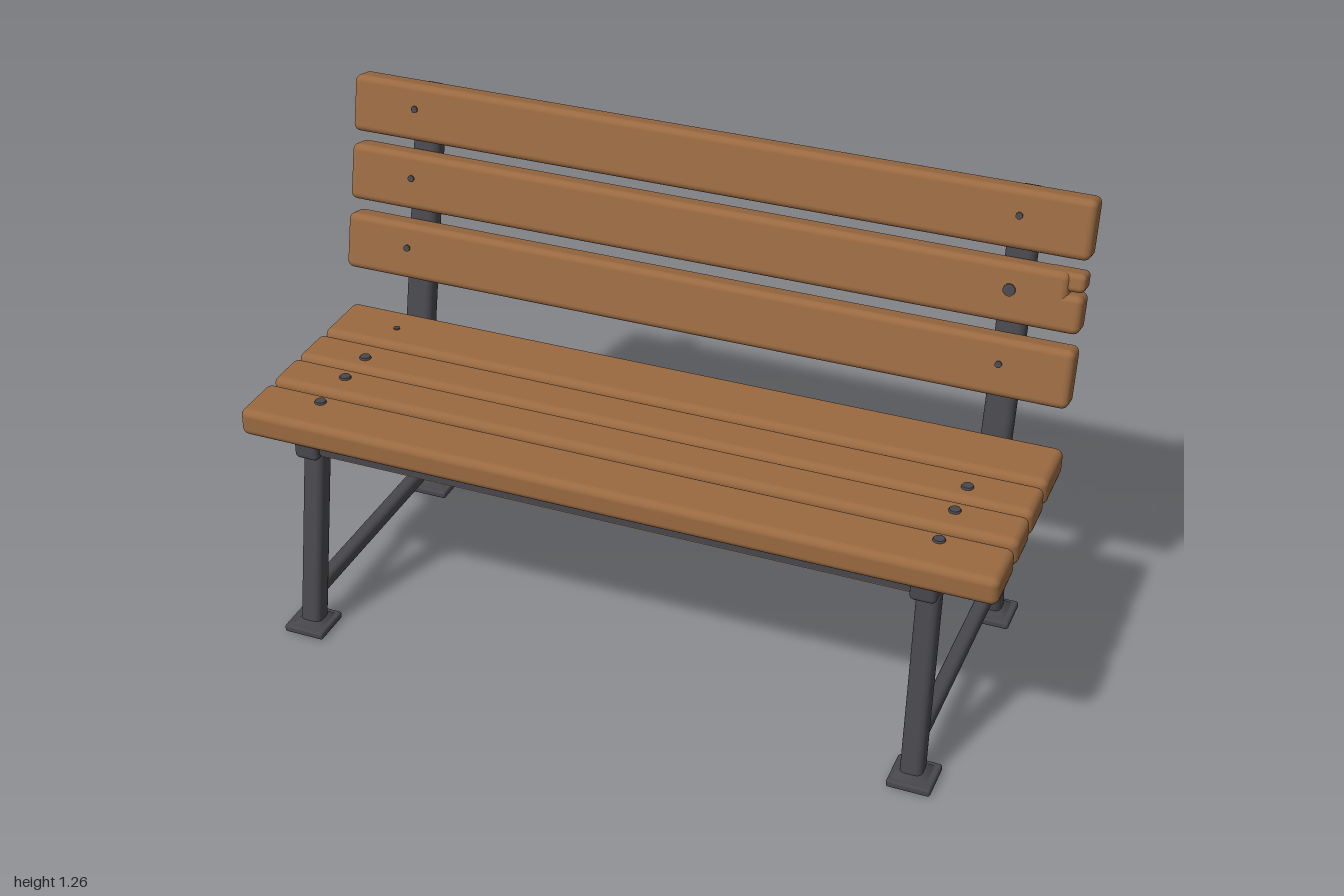
import * as THREE from 'three';
import { RoundedBoxGeometry } from 'three/addons/geometries/RoundedBoxGeometry.js';

const wood = new THREE.MeshStandardMaterial({ color: 0x9a6a41 });
wood.name = 'warm wood';
const metal = new THREE.MeshStandardMaterial({ color: 0x48474c });
metal.name = 'dark metal';

const UP = new THREE.Vector3(0, 1, 0);

export function createModel() {
  const bench = new THREE.Group();
  bench.name = 'bench';

  function add(name, geometry, material, x, y, z, parent = bench) {
    const mesh = new THREE.Mesh(geometry, material);
    mesh.name = name;
    mesh.position.set(x, y, z);
    parent.add(mesh);
    return mesh;
  }
  const rounded = (w, h, d, r) => new RoundedBoxGeometry(w, h, d, 3, r);

  // Rounded bar running between two points
  function bar(name, a, b, w, d, r) {
    const from = new THREE.Vector3(...a), to = new THREE.Vector3(...b);
    const dir = to.clone().sub(from);
    const mid = from.clone().add(to).multiplyScalar(0.5);
    const mesh = add(name, rounded(w, dir.length(), d, r), metal, mid.x, mid.y, mid.z);
    mesh.quaternion.setFromUnitVectors(UP, dir.normalize());
  }

  // Seat slats: [back z, front z]
  for (const [z0, z1] of [[0.232, 0.385], [0.092, 0.214], [-0.045, 0.081], [-0.234, -0.06]]) {
    add('seatSlat', rounded(1.99, 0.075, z1 - z0, 0.02), wood, 0, 0.593, (z0 + z1) / 2);
  }

  // Panel under the slats with a wooden underside
  add('seatPanel', new THREE.BoxGeometry(1.62, 0.023, 0.66), metal, 0, 0.543, 0.03);
  add('panelUnderside', new THREE.BoxGeometry(1.56, 0.004, 0.64), wood, 0, 0.53, 0.038);

  // Tilted backrest slats, each in its own leaning group
  const lean = -0.215;
  const backSlats = [[1.185, -0.343], [1.003, -0.302], [0.818, -0.256]];
  backSlats.forEach(([y, z], i) => {
    const slat = new THREE.Group();
    slat.name = 'backSlat';
    slat.position.set(0, y, z);
    slat.rotation.x = lean;
    bench.add(slat);
    if (i === 1) {
      // Middle slat has a split at its left end
      add('slatBody', rounded(1.95, 0.152, 0.075, 0.018), wood, -0.02, 0, 0, slat);
      add('splitUpper', rounded(0.1, 0.048, 0.066, 0.014), wood, 0.943, 0.052, -0.004, slat);
      add('splitLower', rounded(0.1, 0.098, 0.075, 0.018), wood, 0.945, -0.027, 0, slat);
    } else {
      add('slatBody', rounded(1.99, 0.152, 0.075, 0.018), wood, 0, 0, 0, slat);
    }
    // Screw heads on the front face
    for (const s of [-1, 1]) {
      const r = i === 1 && s === 1 ? 0.016 : 0.009;
      const head = add('backScrew', new THREE.CylinderGeometry(r, r, 0.006, 12), metal,
        s * 0.813, 0.01, 0.039, slat);
      head.rotation.x = Math.PI / 2;
      // Bolt ends behind the top and bottom slats
      if (i !== 1) {
        const end = add('boltEnd', new THREE.CylinderGeometry(0.014, 0.014, 0.06, 10), metal,
          s * 0.755, i === 0 ? 0.01 : -0.05, -0.062, slat);
        end.rotation.x = Math.PI / 2;
      }
    }
  });

  // Metal side frames, mirrored
  for (const s of [-1, 1]) {
    bar('backPost', [s * 0.812, 0.53, -0.263], [s * 0.812, 1.237, -0.412], 0.078, 0.056, 0.02);
    bar('seatRail', [s * 0.815, 0.541, -0.327], [s * 0.815, 0.541, 0.375], 0.066, 0.05, 0.012);
    add('postJoint', rounded(0.078, 0.055, 0.07, 0.02), metal, s * 0.815, 0.543, -0.285);
    bar('frontLeg', [s * 0.826, 0.012, 0.387], [s * 0.817, 0.52, 0.309], 0.058, 0.058, 0.017);
    bar('backLeg', [s * 0.826, 0.012, -0.341], [s * 0.817, 0.52, -0.271], 0.058, 0.058, 0.017);
    bar('stretcher', [s * 0.824, 0.106, -0.325], [s * 0.824, 0.106, 0.37], 0.04, 0.042, 0.014);
    for (const z of [0.386, -0.337]) {
      add('foot', rounded(0.112, 0.021, 0.112, 0.007), metal, s * 0.83, 0.0105, z);
      add('footCollar', new THREE.CylinderGeometry(0.04, 0.062, 0.014, 4).rotateY(Math.PI / 4),
        metal, s * 0.828, 0.026, z);
    }
    // Seat bolt heads
    for (const z of [0.272, 0.14, 0.03]) {
      add('seatBolt', new THREE.CylinderGeometry(0.014, 0.017, 0.008, 12), metal, s * 0.82, 0.632, z);
    }
  }
  // Small screw on the rear seat slat
  add('seatScrew', new THREE.CylinderGeometry(0.009, 0.009, 0.006, 10), metal, -0.815, 0.631, -0.14);

  return bench;
}
